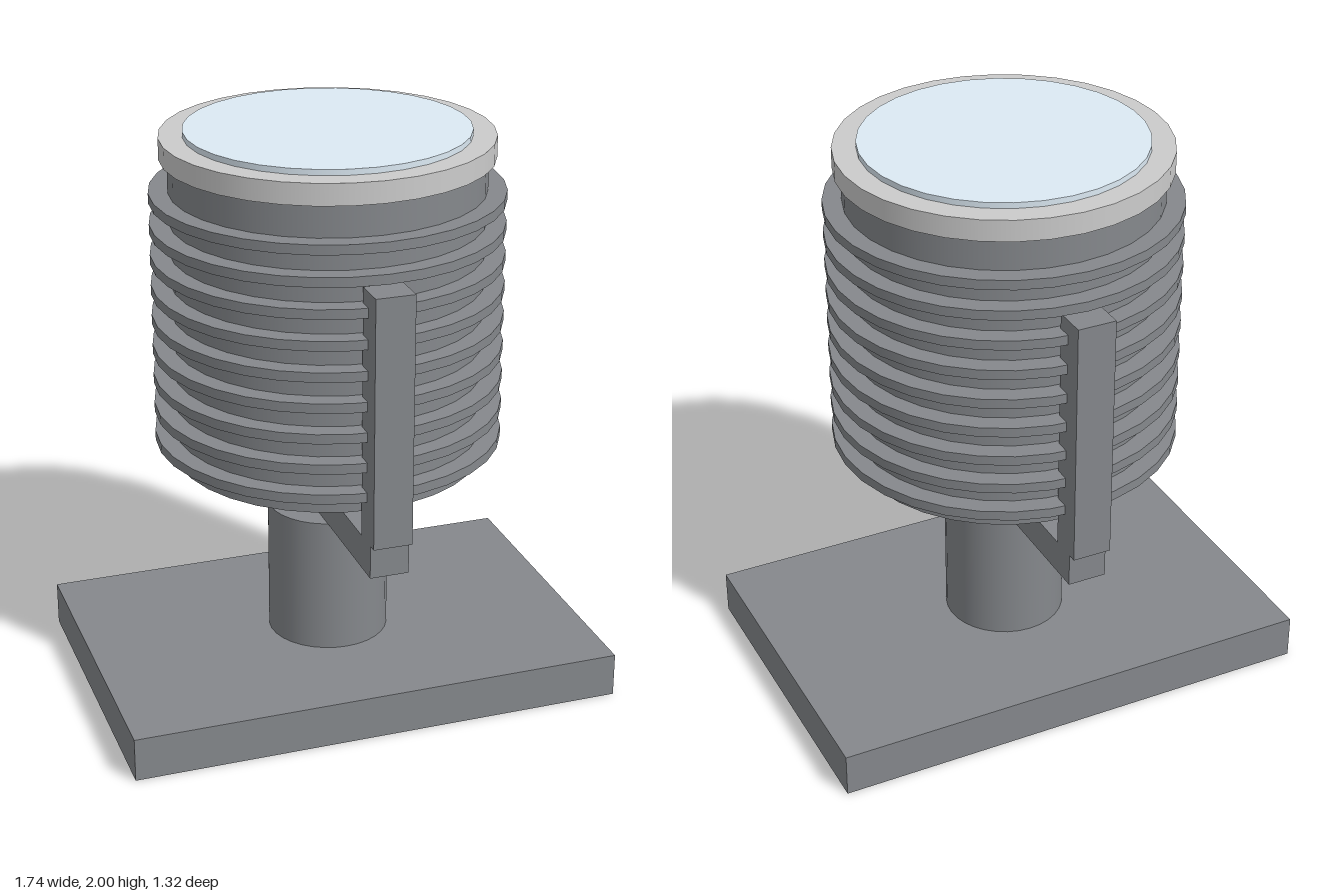
import * as THREE from 'three';

export function createModel() {
  const group = new THREE.Group();
  const metal = new THREE.MeshStandardMaterial({ color: 0x85888c });
  const trim = new THREE.MeshStandardMaterial({ color: 0xcccccc });
  const glass = new THREE.MeshStandardMaterial({ color: 0xdceaf4 });

  const add = (name, geometry, material, y, z = 0) => {
    const mesh = new THREE.Mesh(geometry, material);
    mesh.name = name;
    mesh.position.set(0, y, z);
    group.add(mesh);
  };
  // Parts are given by their bottom and top heights
  const box = (name, w, d, y0, y1, z = 0) =>
    add(name, new THREE.BoxGeometry(w, y1 - y0, d), metal, (y0 + y1) / 2, z);
  const drum = (name, r, y0, y1, material = metal) =>
    add(name, new THREE.CylinderGeometry(r, r, y1 - y0, 32), material, (y0 + y1) / 2);

  // Stand
  box('base', 1.74, 1.16, 0, 0.155);
  drum('column', 0.212, 0.155, 0.642);

  // Yoke holding the lamp front and back
  box('yokeBar', 0.135, 1.26, 0.642, 0.76);
  for (const side of [1, -1]) {
    box(side > 0 ? 'frontYokeArm' : 'backYokeArm', 0.135, 0.118, 0.76, 1.632, side * 0.602);
  }

  // Lamp housing with cooling fins
  drum('housing', 0.535, 0.842, 1.92);
  for (let i = 0; i < 9; i++) {
    const y = 0.92 + i * 0.107;
    drum('coolingFin', 0.6, y - 0.017, y + 0.017);
  }

  // Lens and its retaining ring
  drum('lensRing', 0.562, 1.906, 1.98, trim);
  drum('lens', 0.482, 1.95, 2, glass);

  return group;
}
